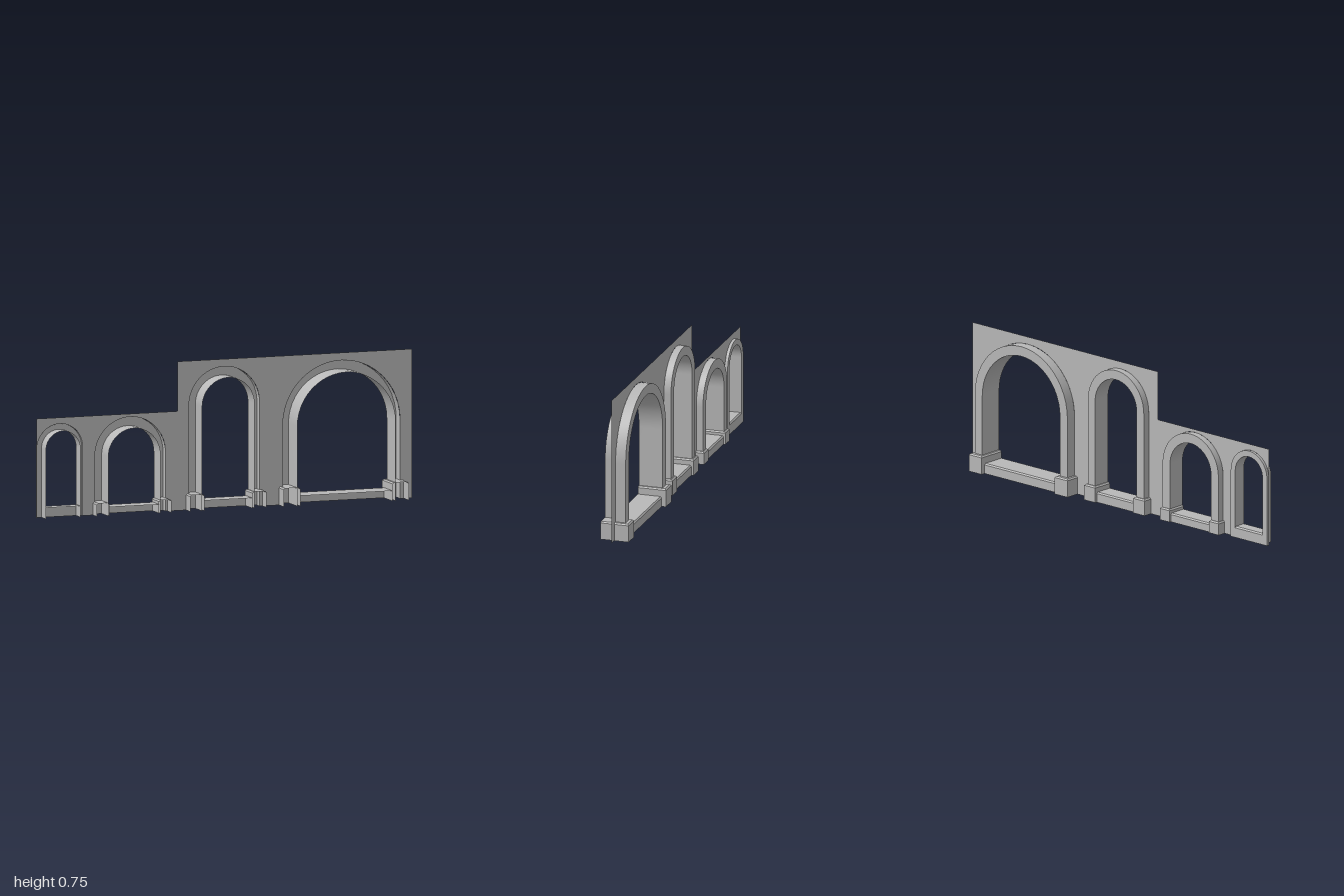
import * as THREE from 'three';
import { mergeGeometries } from 'three/addons/utils/BufferGeometryUtils.js';

const WALL_Z = 0.003;
const SEGMENTS = 24;

// Each opening: centre, spring height, outer and inner radius, trim back, reveal front, sill height;
// base: outer/inner edges measured from the centre, back depth and height
const ARCHES = [
  { c: -0.877, spring: 0.347, R: 0.122, r: 0.092, back: -0.012, front: 0.052, sill: 0.057 },
  { c: -0.502, spring: 0.297, R: 0.188, r: 0.139, back: -0.032, front: 0.062, sill: 0.045,
    base: { out: 0.198, in: 0.132, back: -0.041, h: 0.066 } },
  { c: -0.001, spring: 0.525, R: 0.188, r: 0.14, back: -0.034, front: 0.062, sill: 0.052,
    base: { out: 0.203, in: 0.128, back: -0.046, h: 0.083 } },
  { c: 0.623, spring: 0.4, R: 0.312, r: 0.262, back: -0.05, front: 0.075, sill: 0.052,
    base: { out: 0.332, in: 0.246, back: -0.072, h: 0.093 } },
];

// Strips between successive rows of points: crisp between rows, smooth along them unless sharp
function loft(rows, sharp = false) {
  const strips = [];
  for (let i = 0; i < rows.length - 1; i++) {
    const n = rows[i].length;
    const index = [];
    for (let j = 0; j < n - 1; j++) index.push(j, j + 1, n + j, j + 1, n + j + 1, n + j);
    let g = new THREE.BufferGeometry();
    g.setAttribute('position', new THREE.Float32BufferAttribute([...rows[i], ...rows[i + 1]].flat(), 3));
    g.setIndex(index);
    if (sharp) g = g.toNonIndexed();
    g.computeVertexNormals();
    strips.push(g);
  }
  return mergeGeometries(strips);
}

// Arch line running up one jamb, over the top and down the other
function archRow({ c, spring }, r, z) {
  const row = [[c - r, 0, z]];
  for (let i = 0; i <= SEGMENTS; i++) {
    const t = Math.PI * (1 - i / SEGMENTS);
    row.push([c + r * Math.cos(t), spring + r * Math.sin(t), z]);
  }
  row.push([c + r, 0, z]);
  return row;
}

// Open-bottomed, open-fronted plinth with chamfered top edges
function baseGeometry(x0, x1, zb, zf, h) {
  const k = 0.007;
  const u = (y, d) => [[x1 - d, y, zf], [x1 - d, y, zb + d], [x0 + d, y, zb + d], [x0 + d, y, zf]];
  const rim = u(h, k);
  const top = loft([[rim[3], rim[0]], [rim[2], rim[1]]], true);
  return mergeGeometries([loft([u(0, 0), u(h - k, 0), rim], true), top]);
}

export function createModel() {
  const model = new THREE.Group();
  const stone = new THREE.MeshStandardMaterial({ color: 0xb8b8b8, side: THREE.DoubleSide });
  stone.name = 'grey stone';

  const add = (parent, name, geometry) => {
    const mesh = new THREE.Mesh(geometry, stone);
    mesh.name = name;
    parent.add(mesh);
    return mesh;
  };

  // Thin stepped wall with arched cut-outs
  const outline = new THREE.Shape();
  outline.moveTo(-1, 0);
  for (const { c, spring, R } of ARCHES) {
    outline.lineTo(c - R, 0);
    outline.lineTo(c - R, spring);
    outline.absarc(c, spring, R, Math.PI, 0, true);
    outline.lineTo(c + R, 0);
  }
  for (const [x, y] of [[1, 0], [1, 0.75], [-0.25, 0.75], [-0.25, 0.5], [-1, 0.5]]) outline.lineTo(x, y);
  add(model, 'wall', new THREE.ShapeGeometry(outline, SEGMENTS)).position.z = WALL_Z;

  ARCHES.forEach((a, i) => {
    const arch = new THREE.Group();
    arch.name = `archway${i + 1}`;
    model.add(arch);

    // Raised trim at the back and the deep reveal running to the front
    add(arch, 'trim', loft([archRow(a, a.R, WALL_Z), archRow(a, a.R, a.back), archRow(a, a.r, a.back)]));
    add(arch, 'reveal', loft([archRow(a, a.r, a.back), archRow(a, a.r, a.front)]));

    // Sill with a chamfered back edge
    const half = a.base ? a.base.in : a.r;
    const k = 0.007;
    const profile = [[0, a.back], [a.sill - k, a.back], [a.sill, a.back + k], [a.sill, a.front]];
    add(arch, 'sill', loft(profile.map(([y, z]) => [[a.c + half, y, z], [a.c - half, y, z]]), true));

    // Pair of plinths under the jambs
    if (a.base) {
      const { out, in: inner, back, h } = a.base;
      add(arch, 'leftBase', baseGeometry(a.c + inner, a.c + out, back, a.front, h));
      add(arch, 'rightBase', baseGeometry(a.c - out, a.c - inner, back, a.front, h));
    }
  });

  return model;
}
